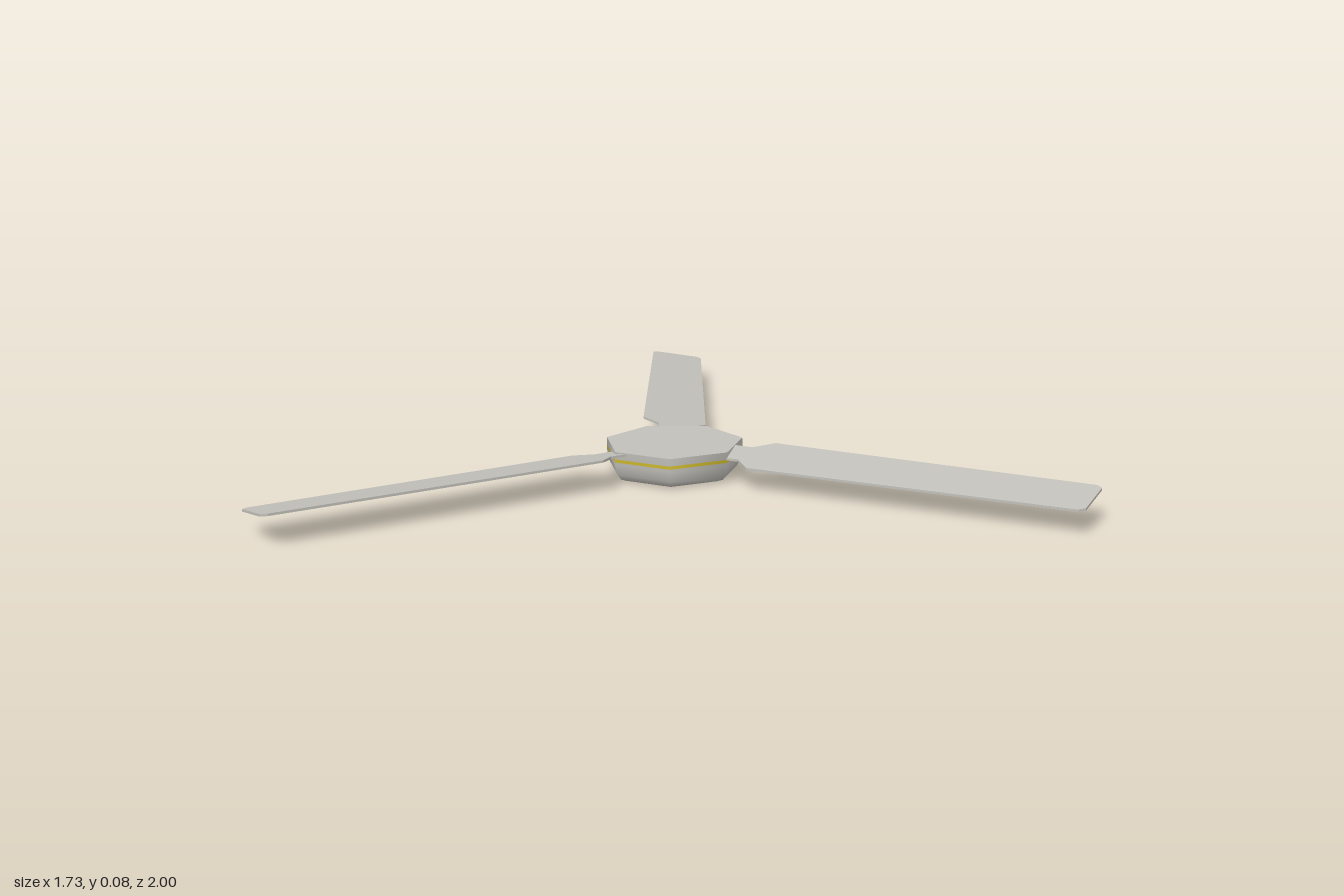
import * as THREE from 'three';

const HUB_X = -0.248, HUB_Z = 0.01, HUB_R = 0.179, HUB_TOP = 0.08;
const SIDES = 7;

const enamel = new THREE.MeshStandardMaterial({ color: 0xc2c0ba });
enamel.name = 'warm grey enamel';
const gold = new THREE.MeshStandardMaterial({ color: 0xcdb92c });
gold.name = 'gold trim';

function part(name, geometry, material) {
  const mesh = new THREE.Mesh(geometry, material);
  mesh.name = name;
  return mesh;
}

// Blade with its neck, outlined along the radius, then pitched by a shear
function bladeGeometry() {
  const halfOutline = [
    [0.145, 0.042], [0.205, 0.041], [0.25, 0.083], [1.098, 0.073], [1.113, 0.06],
  ];
  const mirrored = halfOutline.map(([r, w]) => [r, -w]).reverse();
  const shape = new THREE.Shape([...halfOutline, ...mirrored].map(([r, w]) => new THREE.Vector2(r, w)));
  const geometry = new THREE.ExtrudeGeometry(shape, { depth: 0.006, bevelEnabled: false });
  geometry.rotateX(Math.PI / 2);
  const pitch = new THREE.Matrix4().set(
    1, 0, 0, 0,
    0, 1, -0.15, 0.072,
    0, 0, 1, 0,
    0, 0, 0, 1,
  );
  return geometry.applyMatrix4(pitch);
}

export function createModel() {
  const fan = new THREE.Group();
  fan.name = 'ceilingFan';
  fan.position.set(HUB_X, 0, HUB_Z);

  // Seven-sided motor housing with a rounded underside
  const profile = [
    [0, 0], [0.148, 0], [0.164, 0.006], [0.174, 0.02], [HUB_R, 0.045], [HUB_R, HUB_TOP],
  ].map(([r, y]) => new THREE.Vector2(r, y));
  fan.add(part('motorHousing', new THREE.LatheGeometry(profile, SIDES, Math.PI), enamel));

  // Flat lid
  const lid = new THREE.CircleGeometry(HUB_R, SIDES, Math.PI / 2);
  lid.rotateX(-Math.PI / 2).translate(0, HUB_TOP, 0);
  fan.add(part('housingLid', lid, enamel));

  // Thin trim band around the housing
  const band = new THREE.CylinderGeometry(HUB_R + 0.001, HUB_R + 0.001, 0.008, SIDES, 1, true, Math.PI);
  band.translate(0, 0.057, 0);
  fan.add(part('trimBand', band, gold));

  // Three pitched blades
  const blade = bladeGeometry();
  [0, 118.4, -120.4].forEach((degrees, i) => {
    const mesh = part(`blade${i + 1}`, blade, enamel);
    mesh.rotation.y = THREE.MathUtils.degToRad(degrees);
    fan.add(mesh);
  });

  const model = new THREE.Group();
  model.name = 'model';
  model.add(fan);
  return model;
}
